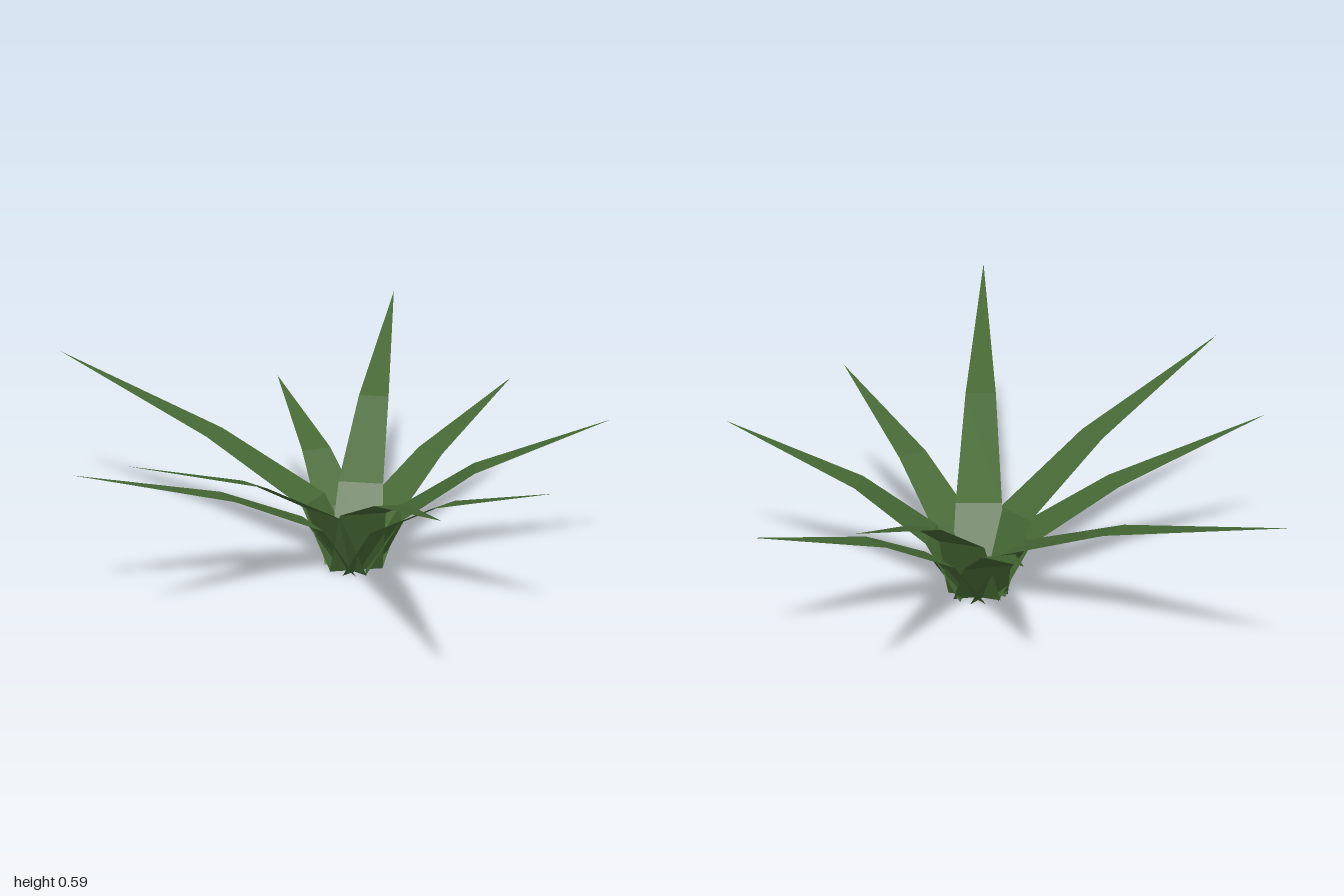
import * as THREE from 'three';

// Centre of the rosette on the ground
const CX = 0.085, CZ = -0.12;

// Tip of each leaf: x, height, z
const TIPS = [
  [0.185, 0.575, -1.0],
  [0.55, 0.39, -0.70],
  [0.81, 0.46, -0.12],
  [0.62, 0.44, 0.42],
  [0.32, 0.59, 1.0],
  [-0.48, 0.56, 0.58],
  [-0.66, 0.43, 0.31],
  [-0.82, 0.495, -0.58],
  [-0.17, 0.385, -0.71],
];

// Folded blade running out along +z: three flat segments narrowing to a point
function leafGeometry(length, height) {
  const sections = [ // distance out, height, half width
    [0.035, 0, 0.078],
    [0.135, height * 0.36, 0.066],
    [0.035 + (length - 0.035) * 0.445, height * 0.665, 0.045],
  ];
  const positions = [], index = [];
  for (const [r, y, w] of sections) positions.push(-w, y, r, w, y, r);
  positions.push(0, height, length);
  for (let i = 0; i < sections.length - 1; i++) {
    const a = i * 2;
    index.push(a, a + 2, a + 3, a, a + 3, a + 1);
  }
  index.push(4, 6, 5);
  const indexed = new THREE.BufferGeometry();
  indexed.setAttribute('position', new THREE.Float32BufferAttribute(positions, 3));
  indexed.setIndex(index);
  const geometry = indexed.toNonIndexed(); // crisp folds
  geometry.computeVertexNormals();
  return geometry;
}

export function createModel() {
  const plant = new THREE.Group();
  plant.name = 'plant';
  const leafGreen = new THREE.MeshStandardMaterial({ color: 0x466834, side: THREE.DoubleSide, flatShading: true });
  leafGreen.name = 'leafGreen';

  // Leaves radiating from the ring at the base
  TIPS.forEach(([x, y, z], i) => {
    const dx = x - CX, dz = z - CZ;
    const leaf = new THREE.Mesh(leafGeometry(Math.hypot(dx, dz), y), leafGreen);
    leaf.name = `leaf${i + 1}`;
    leaf.position.set(CX, 0, CZ);
    leaf.rotation.y = Math.atan2(dx, dz);
    plant.add(leaf);
  });
  return plant;
}
